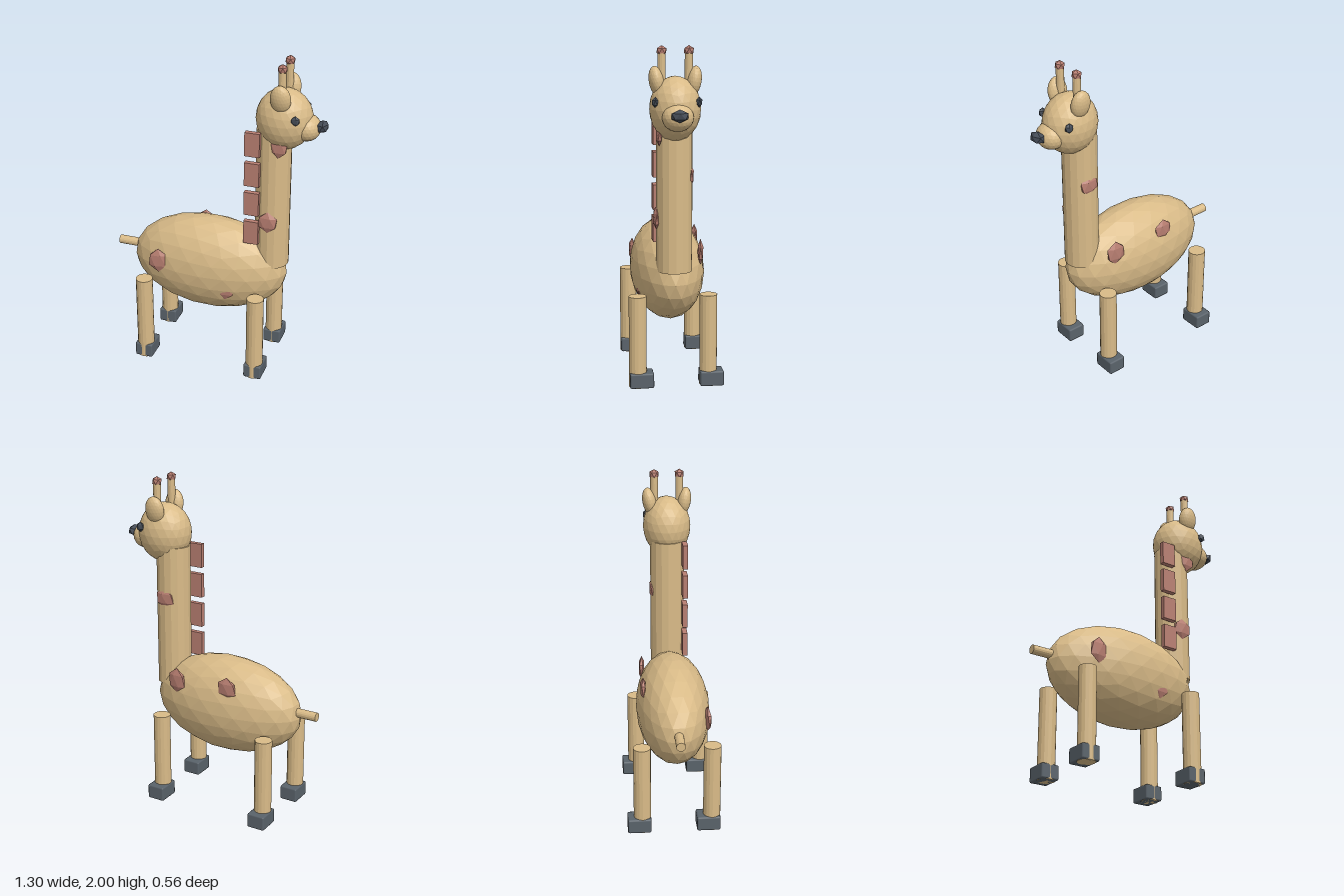
import * as THREE from 'three';
import { RoundedBoxGeometry } from 'three/addons/geometries/RoundedBoxGeometry.js';

const MID = 0.02; // z of the animal's plane of symmetry

export function createModel() {
  const tan = new THREE.MeshStandardMaterial({ name: 'tan hide', color: 0xd9bb88 });
  const rust = new THREE.MeshStandardMaterial({ name: 'dusty red', color: 0xb97f72 });
  const slate = new THREE.MeshStandardMaterial({ name: 'slate hoof', color: 0x5a636b });
  const dark = new THREE.MeshStandardMaterial({ name: 'dark slate', color: 0x454c56 });

  const model = new THREE.Group();
  model.name = 'giraffe';

  const add = (name, geometry, material, x, y, z) => {
    const mesh = new THREE.Mesh(geometry, material);
    mesh.name = name;
    mesh.position.set(x, y, z);
    model.add(mesh);
    return mesh;
  };

  // Faceted ellipsoid standing on one of its vertices
  const blob = (rx, ry, rz, detail) => {
    const g = new THREE.IcosahedronGeometry(1, detail);
    g.rotateZ(-Math.atan(2 / (1 + Math.sqrt(5))));
    g.scale(rx, ry, rz);
    g.computeVertexNormals();
    return g;
  };

  // Faceted upright cylinder
  const post = (r, h, sides = 16) => {
    const g = new THREE.CylinderGeometry(r, r, h, sides).toNonIndexed();
    g.computeVertexNormals();
    return g;
  };

  // Trunk, neck and tail
  add('body', blob(0.488, 0.3, 0.222, 3), tan, -0.056, 0.64, MID);
  add('neck', post(0.104, 0.87), tan, 0.334, 1.145, MID - 0.002);
  add('tail', post(0.027, 0.2).rotateZ(Math.PI / 2), tan, -0.554, 0.675, MID);

  // Head, muzzle and nose
  add('head', blob(0.166, 0.182, 0.145, 3), tan, 0.392, 1.65, MID);
  add('muzzle', blob(0.082, 0.078, 0.088, 3), tan, 0.523, 1.613, MID);
  add('nose', blob(0.037, 0.037, 0.054, 0), dark, 0.613, 1.63, MID);

  // Paired parts: legs, hooves, ears, eyes and horns
  for (const s of [1, -1]) {
    const side = s > 0 ? 'Left' : 'Right';
    for (const [end, x] of [['front', 0.3], ['rear', -0.414]]) {
      add(end + side + 'Leg', post(0.052, 0.548), tan, x, 0.279, MID + s * 0.208);
      add(end + side + 'Hoof', new RoundedBoxGeometry(0.112, 0.09, 0.141, 1, 0.01),
        slate, x, 0.05, s * 0.207);
    }
    const ear = add('ear' + side, blob(0.06, 0.085, 0.042, 3), tan, 0.394, 1.803, MID + s * 0.105);
    ear.rotation.x = s * 0.17;
    add('eye' + side, blob(0.028, 0.03, 0.019, 0), dark, 0.487, 1.694, MID + s * 0.122);
    add('horn' + side, post(0.023, 0.22, 12), tan, 0.394, 1.85, MID + s * 0.076);
    add('hornTip' + side, blob(0.031, 0.03, 0.031, 0), rust, 0.394, 1.97, MID + s * 0.076);
  }

  // Mane: a column of slabs behind the neck
  for (let i = 0; i < 4; i++) {
    add('maneSlab' + (i + 1), new THREE.BoxGeometry(0.09, 0.147, 0.031), rust,
      0.235, 0.94 + i * 0.1887, 0.118);
  }

  // Spots: x, y, z, half width, half height, yaw
  const spots = [
    [-0.327, 0.685, 0.207, 0.066, 0.08, 0.12],
    [0.1, 0.56, 0.2, 0.066, 0.07, 0],
    [0.333, 1.02, 0.122, 0.066, 0.068, 0],
    [0.385, 1.505, 0.11, 0.06, 0.068, 0],
    [-0.147, 0.81, -0.163, 0.067, 0.07, 0],
    [0.21, 0.785, -0.152, 0.066, 0.08, -0.1],
    [0.338, 1.265, -0.075, 0.066, 0.063, 0],
  ];
  spots.forEach(([x, y, z, w, h, yaw], i) => {
    add('spot' + (i + 1), blob(w, h, 0.019, 0), rust, x, y, z).rotation.y = yaw;
  });

  return model;
}
